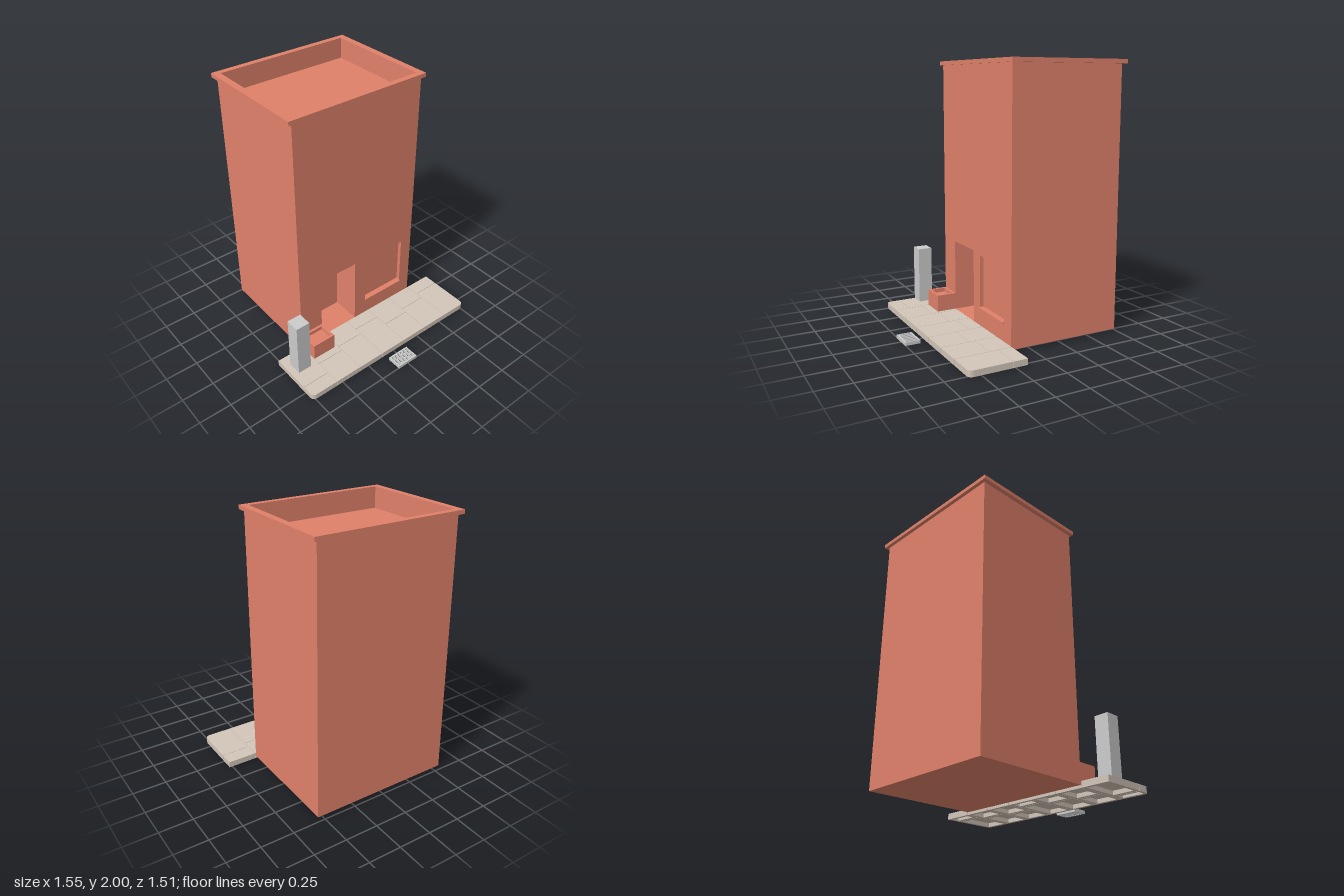
import * as THREE from 'three';

const brick = new THREE.MeshStandardMaterial({ color: 0xe0816a });
const stone = new THREE.MeshStandardMaterial({ color: 0xd3c6b9 });
const grey = new THREE.MeshStandardMaterial({ color: 0xcccccc });

// Rectangle outline from (a0, b0) to (a1, b1); r0 and r1 round the two corners at b1
function rect(a0, b0, a1, b1, r0 = 0, r1 = 0, Type = THREE.Shape) {
  const s = new Type();
  s.moveTo(a0, b0);
  s.lineTo(a1, b0);
  s.lineTo(a1, b1 - r1);
  if (r1) s.quadraticCurveTo(a1, b1, a1 - r1, b1);
  s.lineTo(a0 + r0, b1);
  if (r0) s.quadraticCurveTo(a0, b1, a0, b1 - r0);
  s.closePath();
  return s;
}
const hole = (a0, b0, a1, b1) => rect(a0, b0, a1, b1, 0, 0, THREE.Path);

function add(parent, name, geometry, material) {
  const mesh = new THREE.Mesh(geometry, material);
  mesh.name = name;
  parent.add(mesh);
  return mesh;
}

function box(parent, name, material, x0, x1, y0, y1, z0, z1) {
  const g = new THREE.BoxGeometry(x1 - x0, y1 - y0, z1 - z0);
  g.translate((x0 + x1) / 2, (y0 + y1) / 2, (z0 + z1) / 2);
  return add(parent, name, g, material);
}

// Plan outline (x, z) raised from y0 to y1
function raised(parent, name, material, shape, holes, y0, y1) {
  shape.holes.push(...holes);
  const g = new THREE.ExtrudeGeometry(shape, { depth: y1 - y0, bevelEnabled: false, curveSegments: 5 });
  g.rotateX(Math.PI / 2);
  g.translate(0, y1, 0);
  return add(parent, name, g, material);
}

// Elevation outline (x, y) running from z0 to z1
function wall(parent, name, material, shape, holes, z0, z1) {
  shape.holes.push(...holes);
  const g = new THREE.ExtrudeGeometry(shape, { depth: z1 - z0, bevelEnabled: false });
  g.translate(0, 0, z0);
  return add(parent, name, g, material);
}

function createBuilding() {
  const g = new THREE.Group();
  g.name = 'building';
  const L = -0.55, R = 0.545, base = 0.02, roof = 1.84;
  const door = () => hole(-0.36, 0.045, -0.03, 0.6);

  // Solid rear, doorway layer, then the front skin with doorway and window
  box(g, 'mainBlock', brick, L, R, base, roof, -0.73, -0.075);
  wall(g, 'doorwayLayer', brick, rect(L, base, R, roof), [door()], -0.075, 0.125);
  wall(g, 'frontWall', brick, rect(L, base, R, roof),
    [door(), hole(0.075, 0.175, 0.445, 0.585)], 0.125, 0.155);
  box(g, 'windowSill', brick, 0.075, 0.445, 0.175, 0.19, 0.12, 0.17);

  // Parapet around the sunken roof, with a projecting coping
  const opening = () => hole(-0.53, -0.71, 0.525, 0.125);
  raised(g, 'parapet', brick, rect(L, -0.73, R, 0.155), [opening()], roof, 1.97);
  raised(g, 'coping', brick, rect(-0.58, -0.755, 0.575, 0.17), [opening()], 1.97, 2);

  // Planter box beside the door
  box(g, 'planterBase', brick, L, -0.36, 0.045, 0.145, 0.155, 0.31);
  raised(g, 'planterRim', brick, rect(L, 0.155, -0.36, 0.31),
    [hole(-0.53, 0.175, -0.38, 0.288)], 0.145, 0.175);
  return g;
}

function createPavement() {
  const g = new THREE.Group();
  g.name = 'pavement';
  const splits = [0.48, 0.37, 0.325, 0.265, 0.37, 0.325, 0.265];
  const width = 1.55 / splits.length, gap = 0.0015, rim = 0.025;
  splits.forEach((split, i) => {
    const x0 = -0.775 + i * width + gap, x1 = -0.775 + (i + 1) * width - gap;
    [[0.155, split - gap], [split + gap, 0.59]].forEach(([z0, z1], row) => {
      // Each slab is a thin top on a rim, open underneath; outer front corners are round
      const r0 = row && i === 0 ? 0.04 : 0;
      const r1 = row && i === splits.length - 1 ? 0.04 : 0;
      raised(g, 'slabTop', stone, rect(x0, z0, x1, z1, r0, r1), [], 0.03, 0.045);
      raised(g, 'slabRim', stone, rect(x0, z0, x1, z1, r0, r1),
        [hole(x0 + rim, z0 + rim, x1 - rim, z1 - rim)], 0, 0.03);
    });
  });
  return g;
}

export function createModel() {
  const model = new THREE.Group();
  model.name = 'townBuilding';
  model.add(createBuilding(), createPavement());

  // Square post on the pavement
  box(model, 'post', grey, -0.73, -0.62, 0.06, 0.5, 0.25, 0.36);

  // Drain grate in front of the pavement
  const slots = [];
  for (let i = 0; i < 6; i++) {
    const x = -0.078 + i * 0.0275;
    slots.push(hole(x, 0.653, x + 0.0185, 0.742));
  }
  raised(model, 'drainGrate', grey, rect(-0.09, 0.64, 0.087, 0.755), slots, 0, 0.025);
  return model;
}
